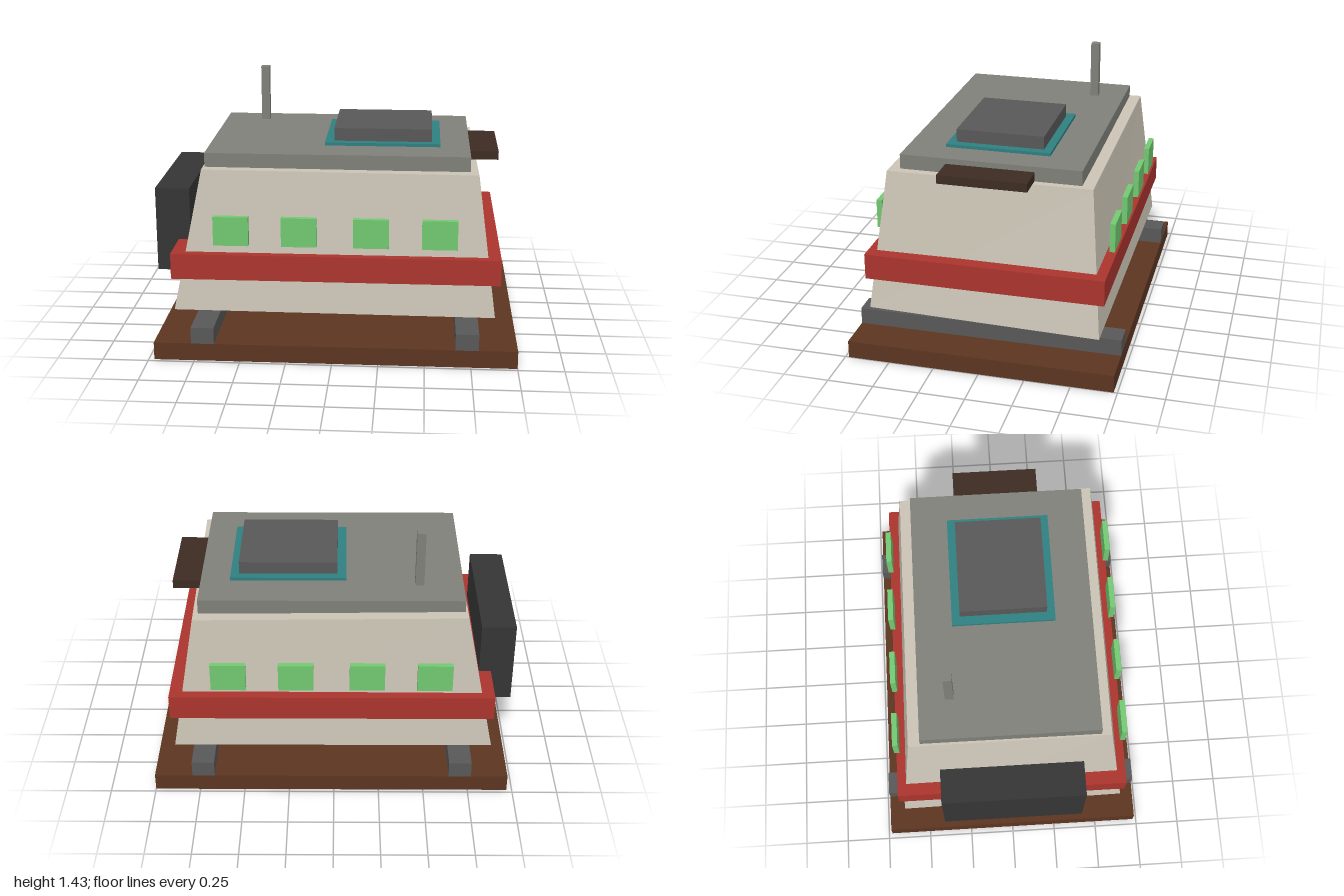
import * as THREE from 'three';

const material = (name, color) => {
  const m = new THREE.MeshStandardMaterial({ color });
  m.name = name;
  return m;
};

export function createModel() {
  const group = new THREE.Group();
  const brown = material('brown', 0x5c3521);
  const darkBrown = material('dark brown', 0x3d2b22);
  const grey = material('grey', 0x585858);
  const roofGrey = material('roof grey', 0x80807a);
  const charcoal = material('charcoal', 0x353535);
  const cream = material('cream', 0xcac3b5);
  const red = material('red', 0xab342d);
  const green = material('green', 0x72c872);
  const teal = material('teal', 0x2f7f80);

  const add = (name, geometry, mat) => {
    const mesh = new THREE.Mesh(geometry, mat);
    mesh.name = name;
    group.add(mesh);
    return mesh;
  };
  // Box given by its extents on each axis
  const box = (name, mat, [x0, x1], [y0, y1], [z0, z1]) => {
    const g = new THREE.BoxGeometry(x1 - x0, y1 - y0, z1 - z0);
    g.translate((x0 + x1) / 2, (y0 + y1) / 2, (z0 + z1) / 2);
    return add(name, g, mat);
  };

  // Base plate and the two rails on it
  box('basePlate', brown, [-0.97, 1], [0, 0.098], [-0.73, 0.73]);
  box('rightRail', grey, [-0.765, -0.64], [0.098, 0.19], [-0.73, 0.73]);
  box('leftRail', grey, [0.665, 0.79], [0.098, 0.19], [-0.73, 0.73]);

  // Tapered, slightly uneven hull: a box with its eight corners moved
  const corners = {
    '-1,-1,1': [-0.865, 0.26, 0.642],
    '1,-1,1': [0.875, 0.254, 0.642],
    '1,-1,-1': [0.889, 0.235, -0.626],
    '-1,-1,-1': [-0.877, 0.245, -0.635],
    '-1,1,1': [-0.712, 1.028, 0.547],
    '1,1,1': [0.772, 1.022, 0.55],
    '1,1,-1': [0.755, 1.02, -0.553],
    '-1,1,-1': [-0.717, 1.038, -0.555],
  };
  const hull = new THREE.BoxGeometry(2, 2, 2).toNonIndexed();
  const p = hull.attributes.position;
  for (let i = 0; i < p.count; i++) {
    p.setXYZ(i, ...corners[[p.getX(i), p.getY(i), p.getZ(i)].join()]);
  }
  hull.computeVertexNormals();
  add('hull', hull, cream);

  // Band around the hull
  box('band', red, [-0.877, 0.9], [0.44, 0.582], [-0.65, 0.65]);

  // Four windows on each long side
  [-0.545, -0.18, 0.205, 0.57].forEach((x, i) => {
    for (const [side, z] of [['front', 0.643], ['back', -0.643]]) {
      box(`${side}Window${i + 1}`, green,
        [x - 0.095, x + 0.095], [0.638, 0.798], [z - 0.015, z + 0.015]);
    }
  });

  // Roof slab, hatch and ledge
  box('roof', roofGrey, [-0.703, 0.728], [1.024, 1.105], [-0.49, 0.49]);
  box('hatchTrim', teal, [-0.067, 0.567], [1.105, 1.122], [-0.285, 0.285]);
  box('hatch', grey, [-0.018, 0.52], [1.122, 1.193], [-0.24, 0.24]);
  box('ledge', darkBrown, [0.728, 0.888], [1.028, 1.075], [-0.24, 0.24]);

  // Mast and side locker
  box('mast', roofGrey, [-0.487, -0.439], [1.112, 1.43], [-0.342, -0.295]);
  box('sideLocker', charcoal, [-1, -0.81], [0.4, 0.875], [-0.395, 0.395]);

  return group;
}
